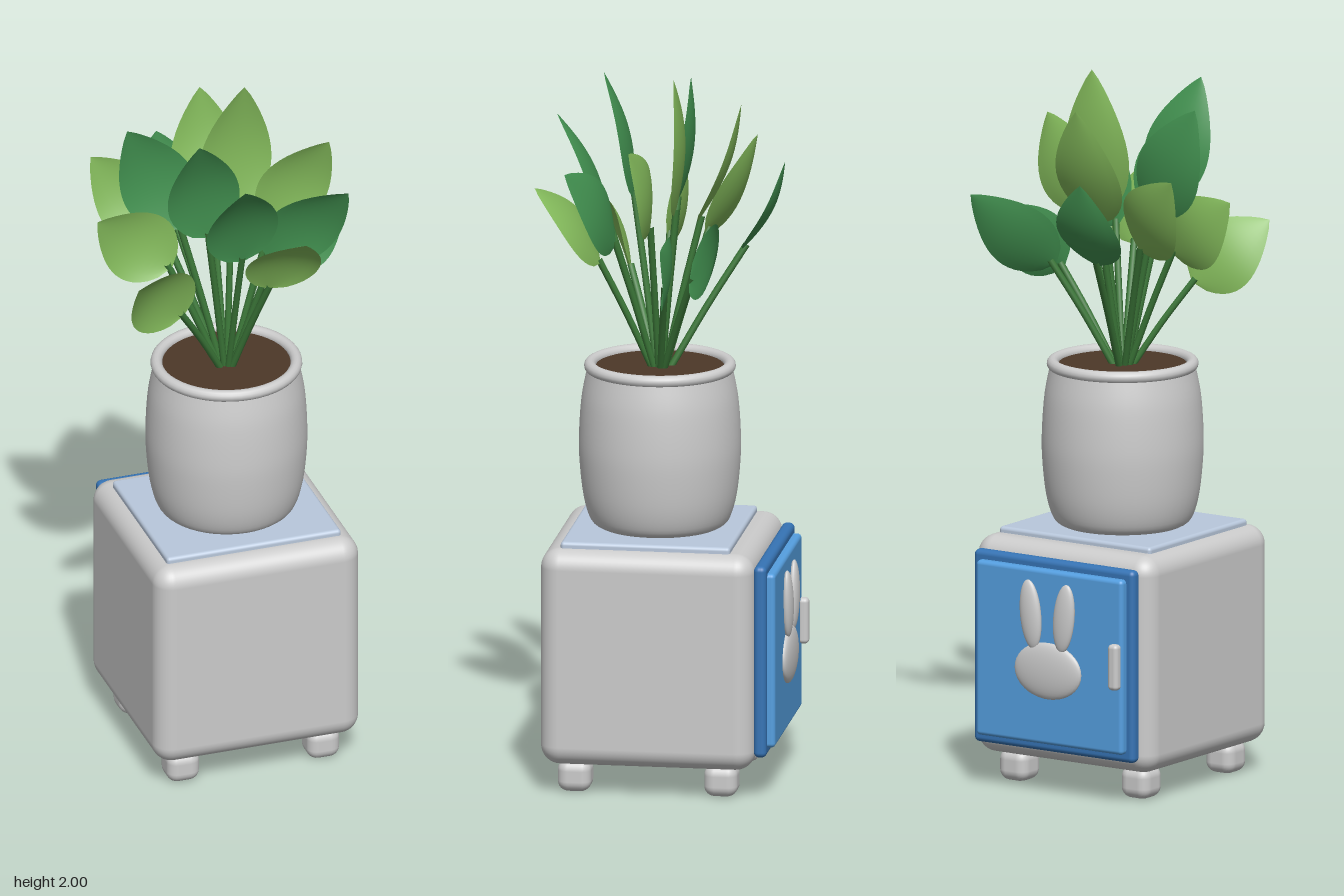
import * as THREE from 'three';
import { RoundedBoxGeometry } from 'three/addons/geometries/RoundedBoxGeometry.js';

const mat = (color, side = THREE.FrontSide) => new THREE.MeshStandardMaterial({ color, side });
const V = (x, y, z) => new THREE.Vector3(x, y, z);

// Leaf blade: a grid swept from base to tip, width kept in the front plane, gently bowed and cupped
function leafGeometry(base, tip, width) {
  const rows = 16, cols = 8, pos = [], idx = [];
  const dir = tip.clone().sub(base).normalize();
  const across = dir.clone().cross(V(0, 0, 1)).normalize();
  const normal = across.clone().cross(dir).normalize();
  for (let i = 0; i <= rows; i++) {
    const t = i / rows;
    const half = (width / 2) * Math.pow(Math.max(0, Math.sin(Math.PI * Math.pow(t, 0.75))), 0.85);
    for (let j = 0; j <= cols; j++) {
      const u = (j / cols) * 2 - 1;
      const lift = -0.028 * Math.sin(Math.PI * t) + 0.015 * u * u * (half * 2 / width);
      const p = base.clone().lerp(tip, t).addScaledVector(across, u * half).addScaledVector(normal, lift);
      pos.push(p.x, p.y, p.z);
      if (i < rows && j < cols) {
        const a = i * (cols + 1) + j, b = a + cols + 1;
        idx.push(a, a + 1, b, a + 1, b + 1, b);
      }
    }
  }
  const g = new THREE.BufferGeometry();
  g.setAttribute('position', new THREE.Float32BufferAttribute(pos, 3));
  g.setIndex(idx);
  g.computeVertexNormals();
  return g;
}

export function createModel() {
  const group = new THREE.Group();
  const grey = mat(0xcccccc);
  const add = (name, geo, material, x = 0, y = 0, z = 0, parent = group) => {
    const m = new THREE.Mesh(geo, material);
    m.name = name;
    m.position.set(x, y, z);
    parent.add(m);
    return m;
  };
  const box = (w, h, d, r, s = 5) => new RoundedBoxGeometry(w, h, d, s, r);

  // Cabinet
  add('cabinetBody', box(0.6, 0.615, 0.6, 0.055), grey, 0, 0.393, 0.02);
  add('topPlate', box(0.51, 0.04, 0.475, 0.01), mat(0xb9c8dc), 0, 0.697, 0.028);
  for (const x of [-0.205, 0.205])
    for (const z of [-0.18, 0.23])
      add('foot', box(0.094, 0.09, 0.094, 0.03, 3), grey, x, 0.047, z);

  // Door on the back face
  add('doorFrame', box(0.54, 0.545, 0.036, 0.015), mat(0x3674b5), 0, 0.397, -0.295);
  add('doorPanel', box(0.494, 0.495, 0.036, 0.012), mat(0x559fe0), 0, 0.397, -0.317);
  add('doorHandle', box(0.033, 0.13, 0.03, 0.012), grey, -0.228, 0.4, -0.343);

  // Rabbit ornament
  const rabbit = new THREE.Group();
  rabbit.name = 'rabbitOrnament';
  group.add(rabbit);
  const ball = new THREE.SphereGeometry(1, 32, 20);
  add('rabbitHead', ball, grey, 0, 0.36, -0.337, rabbit).scale.set(0.112, 0.08, 0.021);
  for (const s of [-1, 1]) {
    const ear = add('rabbitEar', ball, grey, s * 0.056, 0.515, -0.341, rabbit);
    ear.scale.set(0.034, 0.098, 0.017);
    ear.rotation.z = -s * 0.1;
  }

  // Pot
  const px = 0, pz = 0.025;
  const curve = new THREE.SplineCurve([
    [0.165, 0.715], [0.192, 0.735], [0.212, 0.8], [0.223, 0.9], [0.224, 0.98], [0.217, 1.08], [0.202, 1.16],
  ].map(([r, y]) => new THREE.Vector2(r, y)));
  const profile = [new THREE.Vector2(0.0001, 0.715), ...curve.getPoints(30)];
  add('pot', new THREE.LatheGeometry(profile, 48), mat(0xcccccc, THREE.DoubleSide), px, 0, pz);
  const rim = add('potRim', new THREE.TorusGeometry(0.194, 0.0165, 14, 48), grey, px, 1.169, pz);
  rim.rotation.x = Math.PI / 2;
  add('soil', new THREE.CylinderGeometry(0.19, 0.19, 0.02, 48), mat(0x4d3828), px, 1.158, pz);

  // Plant: each entry holds leaf base, leaf tip and shade (0 light, 1 deep)
  const leaves = [
    [[-0.16, 1.40, 0.13], [-0.335, 1.575, 0.255], 0],
    [[-0.16, 1.50, 0.03], [-0.372, 1.67, 0.01], 0],
    [[-0.12, 1.60, 0.00], [-0.275, 1.925, -0.02], 1],
    [[-0.08, 1.62, 0.11], [-0.14, 1.965, 0.204], 1],
    [[0.00, 1.56, 0.165], [-0.045, 1.865, 0.32], 1],
    [[0.03, 1.60, -0.02], [0.07, 2.00, -0.024], 0],
    [[0.12, 1.58, 0.035], [0.285, 1.838, 0.07], 0],
    [[0.17, 1.43, -0.01], [0.362, 1.58, -0.03], 1],
    [[0.07, 1.47, 0.18], [0.12, 1.69, 0.358], 0],
    [[0.09, 1.53, 0.135], [0.28, 1.77, 0.25], 1],
    [[-0.13, 1.52, -0.08], [-0.32, 1.757, -0.2], 0],
    [[0.00, 1.58, -0.08], [0.00, 1.92, -0.203], 0],
    [[-0.07, 1.49, -0.195], [-0.09, 1.74, -0.312], 1],
    [[0.15, 1.45, -0.08], [0.36, 1.64, -0.195], 1],
  ];
  const shades = [mat(0x82b85a, THREE.DoubleSide), mat(0x429150, THREE.DoubleSide)];
  const stemMat = mat(0x3d7a3a);
  const plant = new THREE.Group();
  plant.name = 'plant';
  group.add(plant);
  for (const [b, t, shade] of leaves) {
    const base = V(...b), tip = V(...t);
    add('leaf', leafGeometry(base, tip, 0.212), shades[shade], 0, 0, 0, plant);
    // Stem rises from the soil centre and runs slightly into the blade
    const root = V(base.x * 0.1, 1.15, pz + (base.z - pz) * 0.1);
    const end = base.clone().lerp(tip, 0.06).add(V(0, 0, -0.005));
    const mid = root.clone().lerp(end, 0.5).add(V(0, 0.008, 0));
    const path = new THREE.CatmullRomCurve3([root, mid, end]);
    add('stem', new THREE.TubeGeometry(path, 8, 0.0095, 8), stemMat, 0, 0, 0, plant);
  }
  return group;
}
